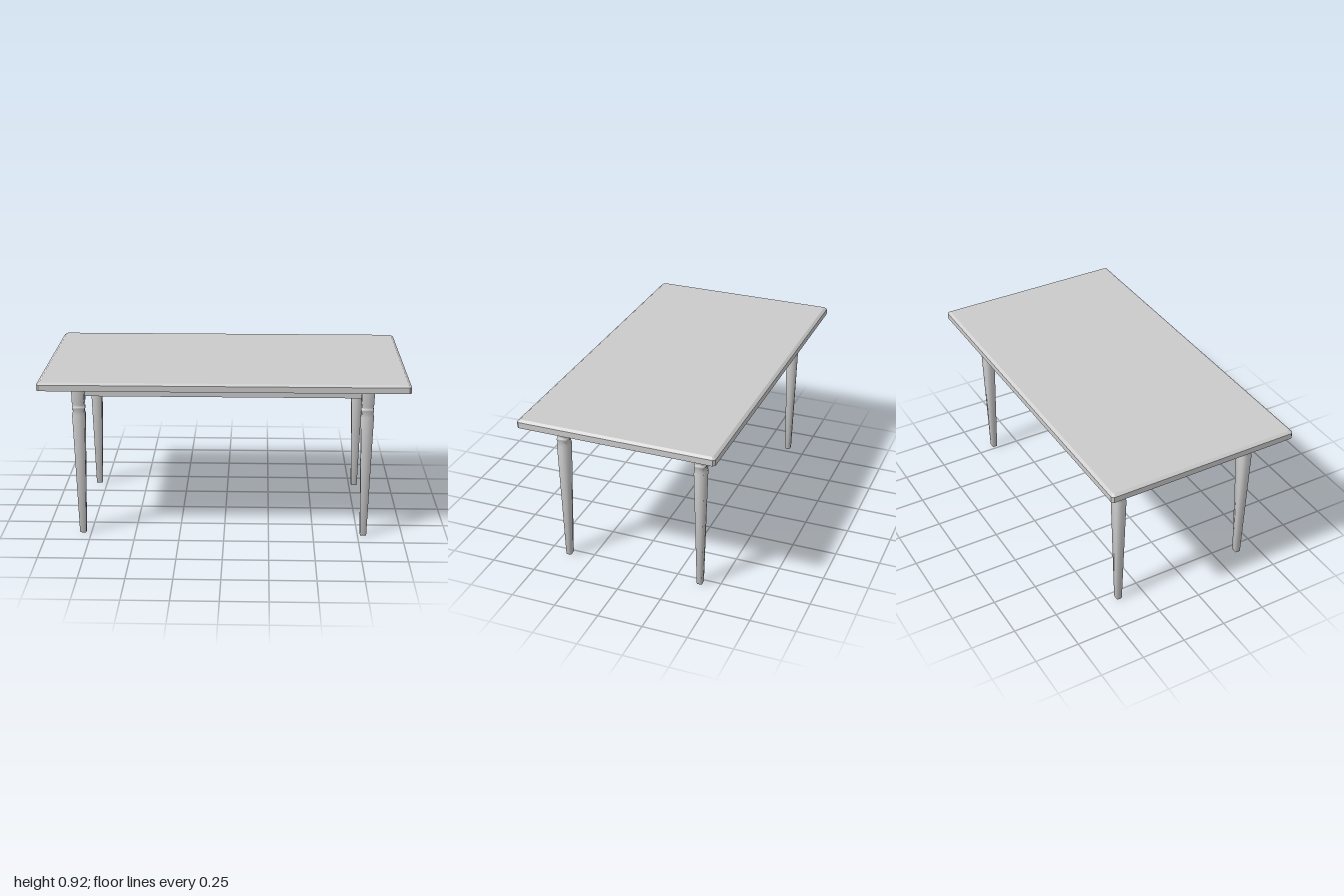
import * as THREE from 'three';
import { toCreasedNormals } from 'three/addons/utils/BufferGeometryUtils.js';

// Rectangle with cut corners: half sizes a (x) and b (z), corner cut c.
function cutRectangle(a, b, c, y) {
  return [
    [a, b - c], [a - c, b], [-a + c, b], [-a, b - c],
    [-a, -b + c], [-a + c, -b], [a - c, -b], [a, -b + c],
  ].map(([x, z]) => new THREE.Vector3(x, y, z));
}

// Slightly bulging rectangle: half sizes a (x) and b (z).
function bulgedRectangle(a, b, y) {
  const k = 0.95;
  return [
    [a, 0], [a * k, b * k], [0, b], [-a * k, b * k],
    [-a, 0], [-a * k, -b * k], [0, -b], [a * k, -b * k],
  ].map(([x, z]) => new THREE.Vector3(x, y, z));
}

// Skin through sections listed from bottom to top, closed above and optionally below.
function loft(rings, crease, closedBelow) {
  const pos = [];
  const tri = (...pts) => pts.forEach((p) => pos.push(p.x, p.y, p.z));
  const n = rings[0].length;
  for (let r = 0; r < rings.length - 1; r++) {
    for (let i = 0; i < n; i++) {
      const j = (i + 1) % n;
      const [a, b, c, d] = [rings[r][i], rings[r][j], rings[r + 1][j], rings[r + 1][i]];
      tri(a, d, b);
      tri(b, d, c);
    }
  }
  const top = rings[rings.length - 1];
  for (let i = 1; i < n - 1; i++) {
    tri(top[0], top[i + 1], top[i]);
    if (closedBelow) tri(rings[0][0], rings[0][i], rings[0][i + 1]);
  }
  const geo = new THREE.BufferGeometry();
  geo.setAttribute('position', new THREE.Float32BufferAttribute(pos, 3));
  return toCreasedNormals(geo, crease);
}

export function createModel() {
  const table = new THREE.Group();
  table.name = 'table';
  const material = new THREE.MeshStandardMaterial({ color: 0xcccccc, side: THREE.DoubleSide });
  const add = (name, geometry, x = 0, y = 0, z = 0) => {
    const mesh = new THREE.Mesh(geometry, material);
    mesh.name = name;
    mesh.position.set(x, y, z);
    table.add(mesh);
  };

  // Top board: a shell open below, with cut corners and a bevelled upper edge
  add('tableTop', loft([
    cutRectangle(1, 0.546, 0.012, 0.878),
    cutRectangle(1, 0.546, 0.012, 0.911),
    cutRectangle(0.984, 0.53, 0.006, 0.922),
  ], 0.4, false));

  // Legs: [height, half depth], a taper, a ring between two necks and a block
  const profile = [
    [0, 0.0135], [0.005, 0.015], [0.70, 0.029], [0.72, 0.0255], [0.728, 0.0255],
    [0.731, 0.028], [0.738, 0.029], [0.745, 0.028], [0.748, 0.0255],
    [0.756, 0.0255], [0.78, 0.029], [0.88, 0.029],
  ];
  const legGeometry = loft(profile.map(([y, r]) => bulgedRectangle(r * 1.24, r, y)), 1.52, true);
  const legX = { left: 0.782, right: -0.797 };
  const legZ = { front: 0.386, back: -0.393 };
  for (const [end, z] of Object.entries(legZ)) {
    for (const [side, x] of Object.entries(legX)) add(`${end}_${side}_leg`, legGeometry, x, 0, z);
  }

  // Apron boards between the legs
  const y = 0.843, height = 0.074, thick = 0.022;
  const midX = (legX.left + legX.right) / 2;
  const midZ = (legZ.front + legZ.back) / 2;
  const long = new THREE.BoxGeometry(legX.left - legX.right, height, thick);
  const short = new THREE.BoxGeometry(thick, height, legZ.front - legZ.back);
  for (const [end, z] of Object.entries(legZ)) add(`${end}_apron`, long, midX, y, z);
  for (const [side, x] of Object.entries(legX)) add(`${side}_apron`, short, x, y, midZ);

  return table;
}
